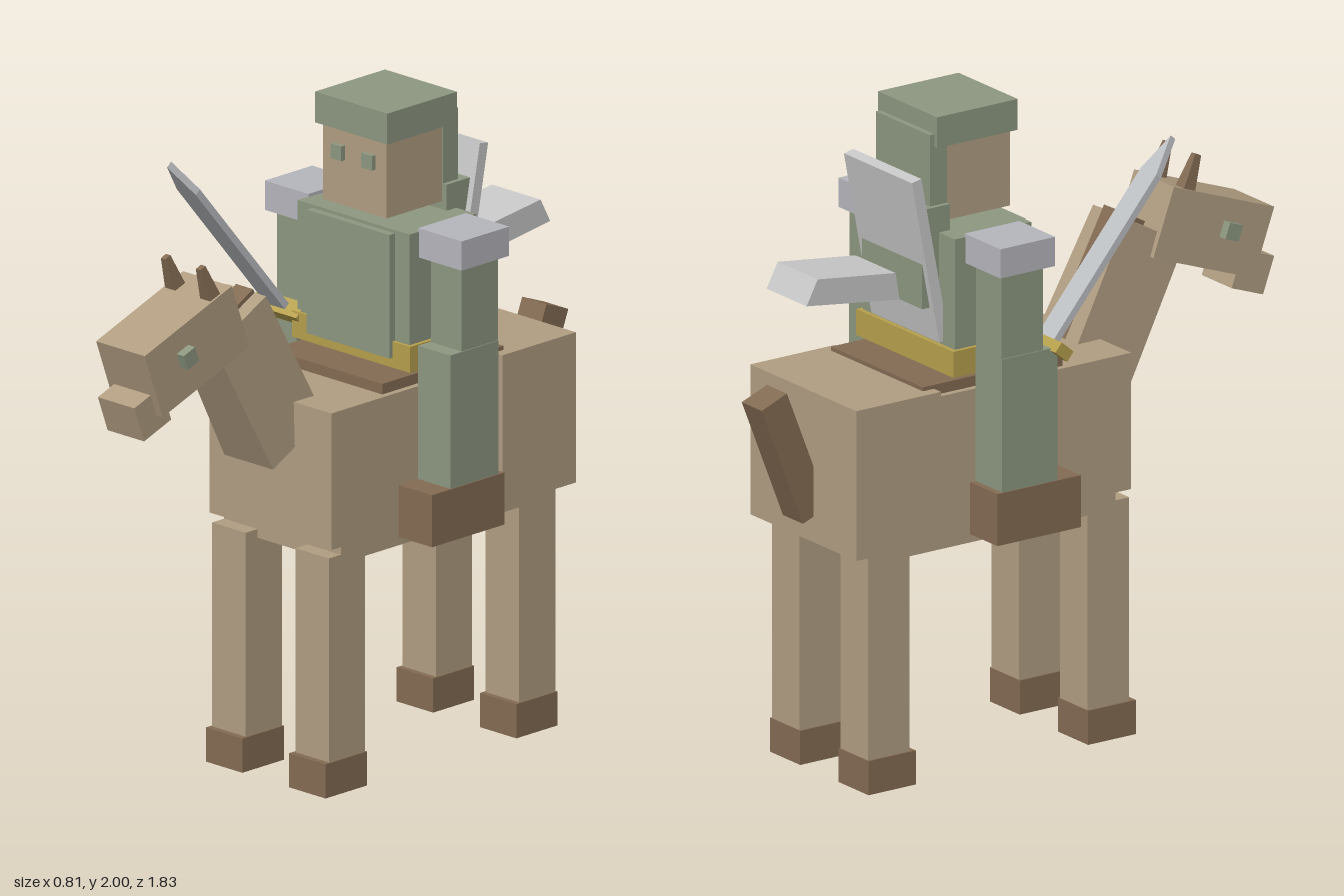
import * as THREE from 'three';

const mat = (name, color) => {
  const m = new THREE.MeshStandardMaterial({ color });
  m.name = name;
  return m;
};

export function createModel() {
  const model = new THREE.Group();
  model.name = 'mountedKnight';
  const horse = new THREE.Group();
  horse.name = 'horse';
  const rider = new THREE.Group();
  rider.name = 'rider';
  model.add(horse, rider);

  const tan = mat('tan', 0xb09d81);
  const brown = mat('leather brown', 0x836b52);
  const green = mat('grey green', 0x8c9780);
  const gold = mat('gold', 0xb59f4c);
  const steel = mat('armour steel', 0xb5b5bc);
  const silver = mat('shield silver', 0xc8c8c8);
  const bladeSteel = mat('blade steel', 0xbcbfc3);

  const add = (parent, name, geometry, material) => {
    const mesh = new THREE.Mesh(geometry, material);
    mesh.name = name;
    parent.add(mesh);
    return mesh;
  };

  // Box given by its limits on each axis
  const block = (parent, name, material, [x0, x1], [y0, y1], [z0, z1]) => {
    const mesh = add(parent, name, new THREE.BoxGeometry(x1 - x0, y1 - y0, z1 - z0), material);
    mesh.position.set((x0 + x1) / 2, (y0 + y1) / 2, (z0 + z1) / 2);
    return mesh;
  };

  // Box given by size and centre, pitched about x, with its top scaled by taper
  const tilted = (parent, name, material, size, centre, degrees, taperX = 1, taperZ = 1) => {
    const geometry = new THREE.BoxGeometry(...size);
    const p = geometry.attributes.position;
    for (let i = 0; i < p.count; i++) {
      if (p.getY(i) > 0) p.setXYZ(i, p.getX(i) * taperX, p.getY(i), p.getZ(i) * taperZ);
    }
    geometry.computeVertexNormals();
    const mesh = add(parent, name, geometry, material);
    mesh.position.set(...centre);
    mesh.rotation.x = THREE.MathUtils.degToRad(degrees);
    return mesh;
  };

  // Horse body
  block(horse, 'chest', tan, [-0.25, 0.25], [0.76, 1.18], [-0.45, 0.28]);
  block(horse, 'belly', tan, [-0.24, 0.24], [0.705, 1.1], [-0.51, 0.23]);
  block(horse, 'rump', tan, [-0.265, 0.265], [0.738, 1.2], [-0.72, -0.415]);
  tilted(horse, 'tail', brown, [0.1, 0.405, 0.0975], [0, 1.008, -0.786], -21.5);
  block(horse, 'saddle', brown, [-0.23, 0.23], [1.17, 1.212], [-0.455, 0.048]);

  // Horse neck and head
  tilted(horse, 'neck', tan, [0.2, 0.475, 0.24], [0, 1.26, 0.376], 28, 0.82);
  tilted(horse, 'mane', brown, [0.07, 0.485, 0.11], [0, 1.298, 0.322], 28);
  tilted(horse, 'horseHead', tan, [0.2, 0.218, 0.384], [0, 1.43, 0.685], 20);
  tilted(horse, 'muzzle', tan, [0.15, 0.118, 0.12], [0, 1.27, 0.844], 20);

  for (const s of [-1, 1]) {
    tilted(horse, 'horseEye', green, [0.03, 0.05, 0.05], [s * 0.114, 1.428, 0.738], 20);
    tilted(horse, 'ear', brown, [0.046, 0.12, 0.046], [s * 0.072, 1.617, 0.62], 22, 0.4, 0.5);

    // Legs and hooves
    const legX = [s * 0.171 - 0.069, s * 0.171 + 0.069];
    const hoofX = [s * 0.171 - 0.075, s * 0.171 + 0.075];
    block(horse, 'frontLeg', tan, legX, [0.1, 0.732], [0.13, 0.28]);
    block(horse, 'frontHoof', brown, hoofX, [0, 0.105], [0.128, 0.3]);
    block(horse, 'hindLeg', tan, legX, [0.1, 0.74], [-0.66, -0.51]);
    block(horse, 'hindHoof', brown, hoofX, [0, 0.105], [-0.662, -0.492]);
  }

  // Rider torso and head
  block(rider, 'torso', green, [-0.23, 0.23], [1.25, 1.645], [-0.34, -0.065]);
  block(rider, 'chestPlate', green, [-0.17, 0.17], [1.255, 1.635], [-0.1, -0.042]);
  block(rider, 'belt', gold, [-0.243, 0.243], [1.225, 1.305], [-0.355, -0.054]);
  block(rider, 'pack', green, [-0.15, 0.15], [1.42, 1.725], [-0.4, -0.3]);
  block(rider, 'neck', tan, [-0.05, 0.05], [1.63, 1.68], [-0.255, -0.15]);
  block(rider, 'head', tan, [-0.13, 0.13], [1.67, 1.91], [-0.3, -0.07]);
  block(rider, 'helmetTop', green, [-0.148, 0.148], [1.905, 2], [-0.345, -0.055]);
  block(rider, 'helmetBack', green, [-0.135, 0.135], [1.685, 1.945], [-0.362, -0.3]);

  // Limbs, shoulder pads, boots and eyes in pairs
  for (const s of [-1, 1]) {
    const span = (a, b) => (s > 0 ? [a, b] : [-b, -a]);
    block(rider, 'eye', green, span(0.041, 0.085), [1.81, 1.855], [-0.08, -0.055]);
    block(rider, 'arm', green, span(0.253, 0.38), [1.3, 1.6], [-0.28, -0.13]);
    block(rider, 'leg', green, span(0.25, 0.383), [0.88, 1.305], [-0.28, -0.08]);
    block(rider, 'boot', brown, span(0.25, 0.387), [0.735, 0.895], [-0.3, 0]);
    block(rider, 'shoulderPad', steel, span(0.226, 0.405), [1.565, 1.655], [-0.302, -0.105]);
  }

  // Shield slung on the back
  tilted(rider, 'shield', silver, [0.34, 0.52, 0.035], [0, 1.572, -0.385], -11);

  // Wedge carried behind the shield, extruded across x
  const wedge = new THREE.Shape([
    [-0.445, 1.445], [-0.46, 1.53], [-0.74, 1.565], [-0.78, 1.49],
  ].map(([z, y]) => new THREE.Vector2(z, y)));
  const wedgeGeometry = new THREE.ExtrudeGeometry(wedge, { depth: 0.2, bevelEnabled: false });
  wedgeGeometry.rotateY(-Math.PI / 2).translate(0.1, 0, 0);
  add(rider, 'rearWedge', wedgeGeometry, silver);

  // Sword, pointing forward and up from the right hand
  const sword = new THREE.Group();
  sword.name = 'sword';
  sword.position.set(-0.312, 1.295, -0.075);
  sword.rotation.x = THREE.MathUtils.degToRad(40.2);
  rider.add(sword);
  const outline = new THREE.Shape([
    [-0.039, 0], [0.039, 0], [0.039, 0.59], [0, 0.714], [-0.039, 0.59],
  ].map(([x, y]) => new THREE.Vector2(x, y)));
  const bladeGeometry = new THREE.ExtrudeGeometry(outline, { depth: 0.022, bevelEnabled: false });
  bladeGeometry.translate(0, 0, -0.011);
  add(sword, 'blade', bladeGeometry, bladeSteel);
  block(sword, 'guard', gold, [-0.098, 0.098], [-0.018, 0.018], [-0.028, 0.028]);
  block(sword, 'grip', brown, [-0.025, 0.025], [-0.09, 0], [-0.018, 0.018]);

  return model;
}
